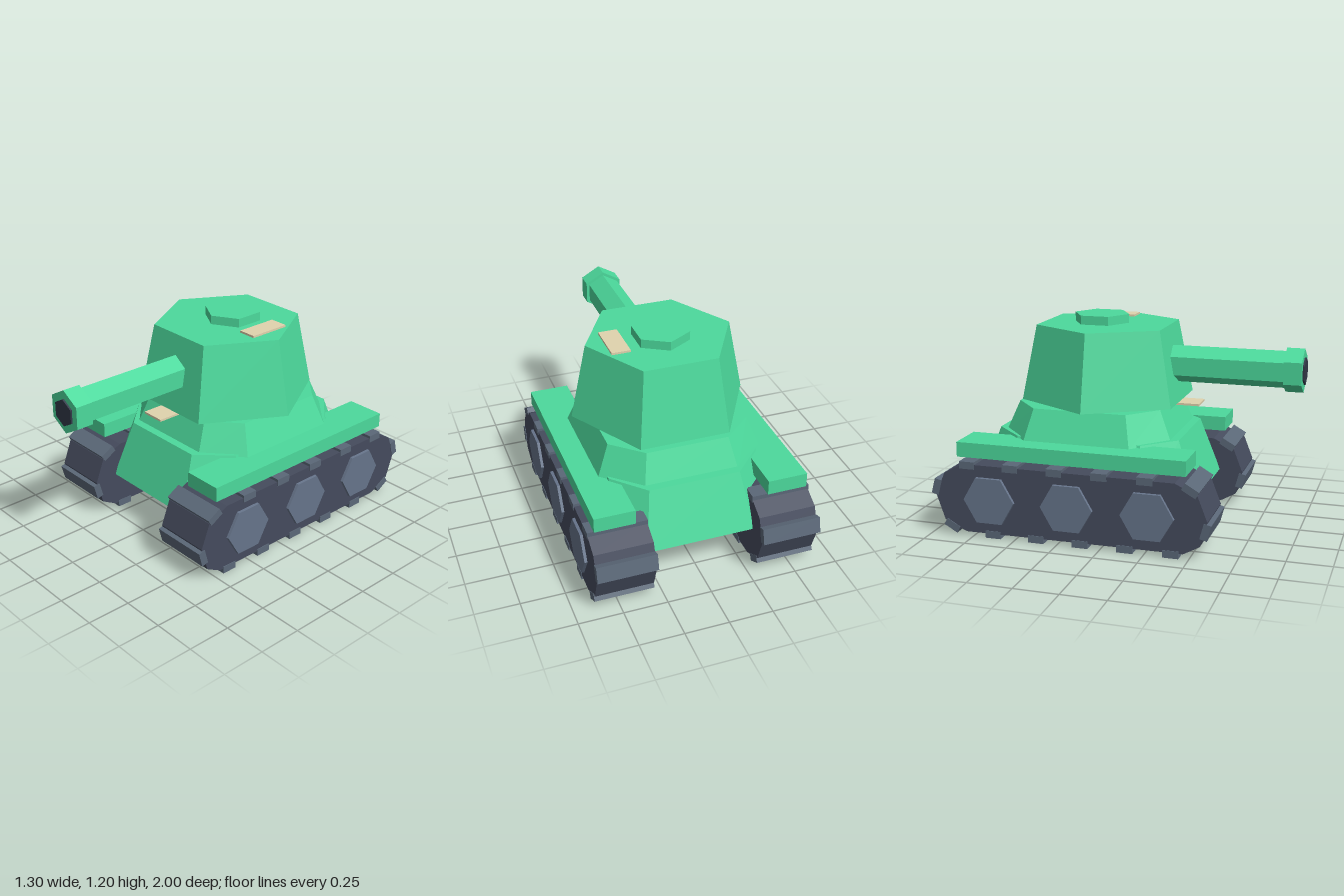
import * as THREE from 'three';

const mat = (color) => new THREE.MeshStandardMaterial({ color, flatShading: true });

// Closed loft through stretched octagons: each ring is { y, x, z, cx, cz }
// (half sizes x, z; cx = half width of end faces, cz = half length of side faces).
function octagonLoft(rings) {
  const pos = [];
  const index = [];
  for (const { y, x, z, cx, cz } of rings) {
    const ring = [[cx, z], [x, cz], [x, -cz], [cx, -z], [-cx, -z], [-x, -cz], [-x, cz], [-cx, z]];
    for (const [px, pz] of ring) pos.push(px, y, pz);
  }
  for (let r = 0; r < rings.length - 1; r++) {
    for (let i = 0; i < 8; i++) {
      const a = r * 8 + i, b = r * 8 + (i + 1) % 8;
      index.push(a, b, b + 8, a, b + 8, a + 8);
    }
  }
  const top = (rings.length - 1) * 8;
  for (let i = 1; i < 7; i++) {
    index.push(0, i + 1, i);
    index.push(top, top + i, top + i + 1);
  }
  const g = new THREE.BufferGeometry();
  g.setAttribute('position', new THREE.Float32BufferAttribute(pos, 3));
  g.setIndex(index);
  g.computeVertexNormals();
  return g;
}

export function createModel() {
  const model = new THREE.Group();
  const green = mat(0x4cd99c);
  const rubber = mat(0x454b5d);
  const steel = mat(0x5b6878);
  const wheelGrey = mat(0x66748a);
  const dark = mat(0x323848);
  const sand = mat(0xe0d3ae);

  const add = (parent, name, geometry, material, x = 0, y = 0, z = 0) => {
    const mesh = new THREE.Mesh(geometry, material);
    mesh.name = name;
    mesh.position.set(x, y, z);
    parent.add(mesh);
    return mesh;
  };
  const box = (w, h, d) => new THREE.BoxGeometry(w, h, d);

  // Hull: wide lower body with a stepped-in superstructure
  add(model, 'lowerHull', octagonLoft([
    { y: 0.23, x: 0.52, z: 0.65, cx: 0.31, cz: 0.44 },
    { y: 0.55, x: 0.43, z: 0.535, cx: 0.26, cz: 0.36 },
  ]), green, 0, 0, -0.19);
  add(model, 'superstructure', octagonLoft([
    { y: 0.53, x: 0.475, z: 0.495, cx: 0.27, cz: 0.31 },
    { y: 0.71, x: 0.405, z: 0.42, cx: 0.235, cz: 0.27 },
  ]), green, 0, 0, -0.19);

  // Turret and hatch
  const turret = new THREE.Group();
  turret.name = 'turret';
  model.add(turret);
  add(turret, 'turretBody',
    new THREE.CylinderGeometry(0.42, 0.51, 0.43, 6).rotateY(Math.PI / 6), green, 0.005, 0.937, -0.147);
  add(turret, 'hatch', new THREE.CylinderGeometry(0.163, 0.163, 0.06, 6), green, 0.007, 1.173, -0.188);

  // Gun, hexagonal with a thicker muzzle
  const hexBar = (r, length) => new THREE.CylinderGeometry(r, r, length, 6).rotateX(Math.PI / 2);
  add(turret, 'barrel', hexBar(0.105, 0.72), green, 0.004, 0.933, 0.54);
  add(turret, 'muzzle', hexBar(0.125, 0.1), green, 0.004, 0.932, 0.94);
  add(turret, 'bore', hexBar(0.078, 0.02), dark, 0.004, 0.93, 0.99);

  // Pale marker plates
  add(turret, 'roofPlate', box(0.107, 0.012, 0.247), sand, 0.268, 1.162, -0.178);
  add(model, 'deckPlate', box(0.14, 0.012, 0.247), sand, 0.003, 0.711, 0.287);

  // Track outline as (z, y)
  const outline = [
    [0.47, 0.03], [0.56, 0.08], [0.6, 0.22], [0.545, 0.36], [0.42, 0.42],
    [-0.8, 0.42], [-0.915, 0.36], [-0.97, 0.23], [-0.92, 0.085], [-0.79, 0.025],
  ].map(([z, y]) => new THREE.Vector2(z, y));
  const trackGeo = new THREE.ExtrudeGeometry(new THREE.Shape(outline), { depth: 0.33, bevelEnabled: false })
    .rotateY(-Math.PI / 2).translate(0.165, 0, 0);

  // Cleats as [z, y, tilt about x]
  const cleats = [
    [0.505, 0.386, 0.52], [0.59, 0.165, 1.83],
    [-0.877, 0.052, -2.62], [-0.965, 0.275, -1.31],
  ];
  for (let i = 0; i < 5; i++) {
    cleats.push([0.255 - i * 0.2575, 0.415, 0]);
    cleats.push([0.4 - i * 0.257, 0.021, Math.PI]);
  }

  for (const side of [1, -1]) {
    const track = new THREE.Group();
    track.name = side > 0 ? 'leftTrack' : 'rightTrack';
    model.add(track);
    add(track, 'trackBelt', trackGeo, rubber, side * 0.467);
    for (const [z, y, tilt] of cleats) {
      add(track, 'cleat', box(0.336, 0.042, 0.09), steel, side * 0.468, y, z).rotation.x = tilt;
    }
    for (const z of [0.27, -0.188, -0.645]) {
      const wheel = new THREE.CylinderGeometry(0.15, 0.155, 0.04, 6).rotateZ(-side * Math.PI / 2);
      add(track, 'wheel', wheel, wheelGrey, side * 0.628, 0.22, z);
    }
    add(model, side > 0 ? 'leftFender' : 'rightFender', box(0.228, 0.085, 1.32), green,
      side * 0.491, 0.495, -0.187);
  }
  return model;
}
